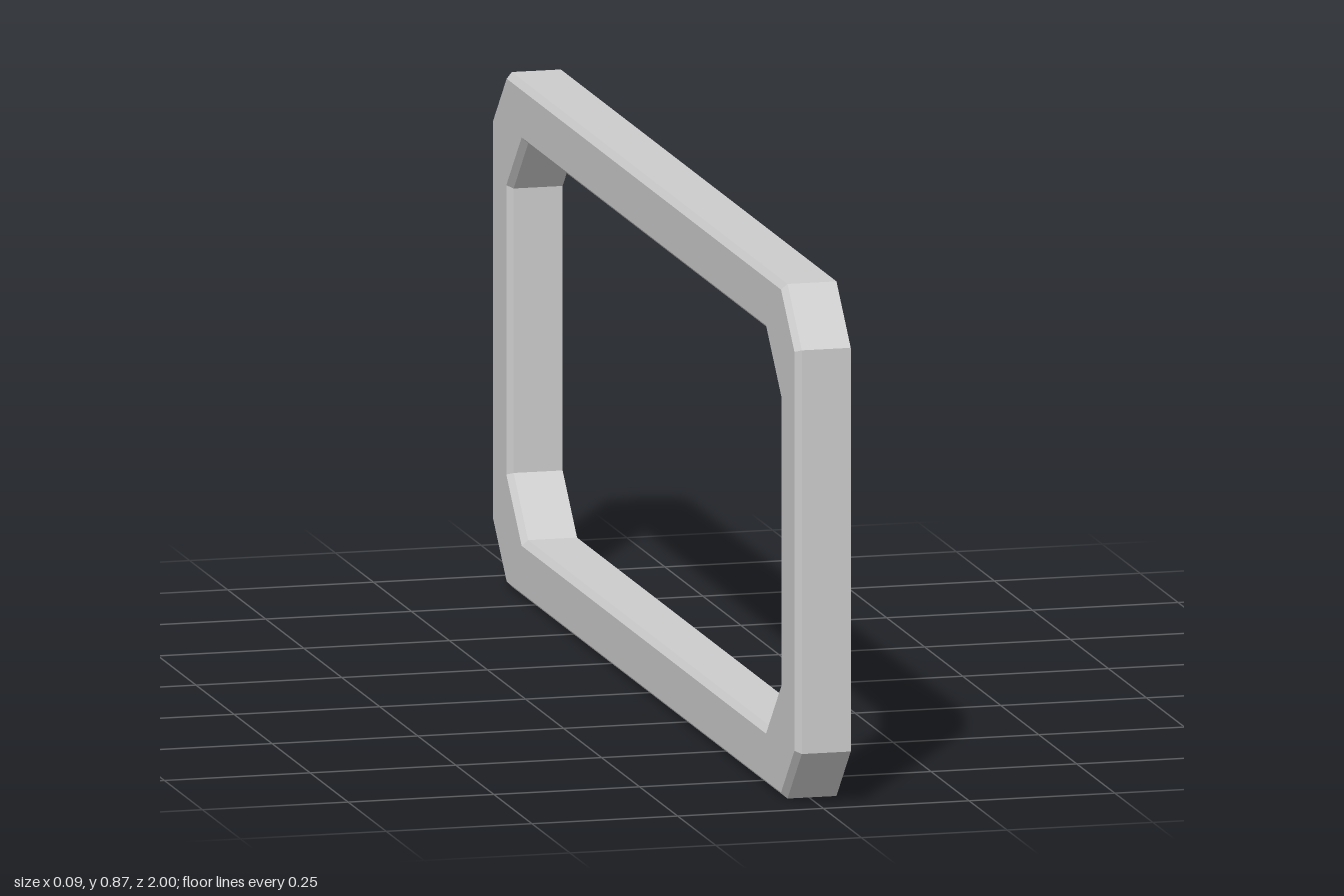
import * as THREE from 'three';

const MID_Y = 0.436;
const RIM_X = 0.047;
const BEVEL = 0.01;

// Rectangle with cut corners in the YZ plane at a given x
function octagon(x, halfZ, halfY, cut) {
  const z = halfZ - cut, y = halfY - cut;
  return [
    [halfZ, -y], [halfZ, y], [z, halfY], [-z, halfY],
    [-halfZ, y], [-halfZ, -y], [-z, -halfY], [z, -halfY],
  ].map(([pz, py]) => new THREE.Vector3(x, py + MID_Y, pz));
}

// Flat-shaded band joining two loops
function band(name, a, b, material) {
  const points = [];
  for (let i = 0; i < a.length; i++) {
    const j = (i + 1) % a.length;
    points.push(a[i], a[j], b[i], a[j], b[j], b[i]);
  }
  const geometry = new THREE.BufferGeometry().setFromPoints(points);
  geometry.computeVertexNormals();
  const mesh = new THREE.Mesh(geometry, material);
  mesh.name = name;
  return mesh;
}

export function createModel() {
  const group = new THREE.Group();
  group.name = 'channelFrame';
  const material = new THREE.MeshStandardMaterial({
    color: 0xcccccc, flatShading: true, side: THREE.DoubleSide,
  });

  // Channel section, from the outer open rim round to the inner open rim
  const mitre = BEVEL * (2 - Math.SQRT2);
  const outer = [1, 0.436, 0.094], inner = [0.894, 0.336, 0.095];
  const inset = [outer[0] - BEVEL, outer[1] - BEVEL, outer[2] - mitre];
  const outset = [inner[0] + BEVEL, inner[1] + BEVEL, inner[2] + mitre];
  const loops = [
    octagon(RIM_X, ...outer),
    octagon(-RIM_X + BEVEL, ...outer),
    octagon(-RIM_X, ...inset),
    octagon(-RIM_X, ...outset),
    octagon(-RIM_X + BEVEL, ...inner),
    octagon(RIM_X, ...inner),
  ];
  ['outerWall', 'outerBevel', 'face', 'innerBevel', 'innerWall'].forEach((name, i) => {
    group.add(band(name, loops[i], loops[i + 1], material));
  });
  return group;
}
